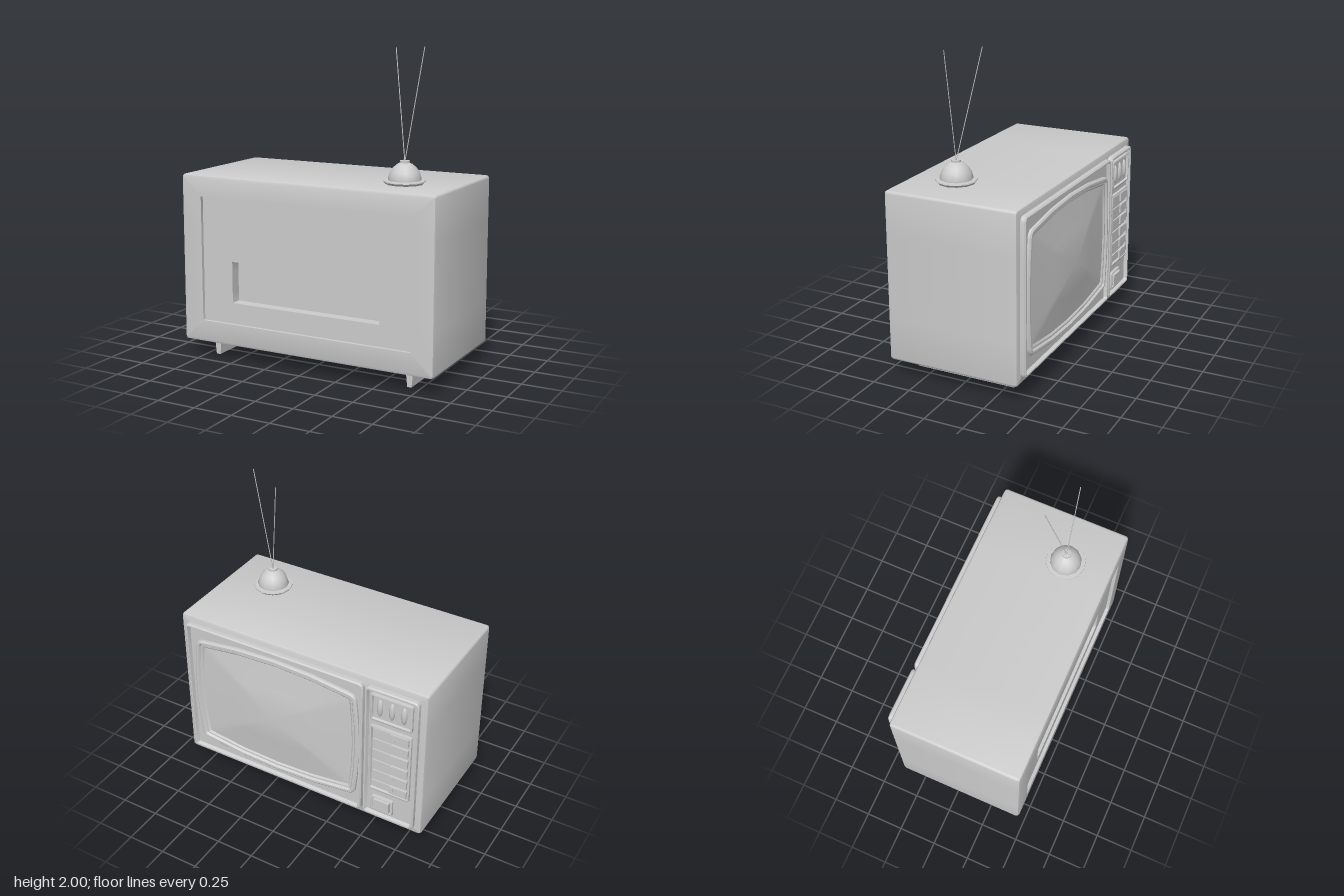
import * as THREE from 'three';
import { toCreasedNormals } from 'three/addons/utils/BufferGeometryUtils.js';

const grey = new THREE.MeshStandardMaterial({ color: 0xcccccc });

function add(parent, name, geometry, x = 0, y = 0, z = 0) {
  const mesh = new THREE.Mesh(geometry, grey);
  mesh.name = name;
  mesh.position.set(x, y, z);
  parent.add(mesh);
  return mesh;
}

const box = (w, h, d) => new THREE.BoxGeometry(w, h, d);

// Rounded rectangle loop (counter-clockwise); bowX / bowY push the sides outwards
function loop(cx, cy, hw, hh, r, z, bowX = 0, bowY = 0) {
  const pts = [];
  const corners = [[1, 1], [-1, 1], [-1, -1], [1, -1]];
  corners.forEach(([sx, sy], c) => {
    for (let k = 0; k <= 3; k++) {
      const a = (c + k / 3) * Math.PI / 2;
      pts.push([cx + sx * (hw - r) + r * Math.cos(a), cy + sy * (hh - r) + r * Math.sin(a), z]);
    }
    // points along the side that follows this corner
    for (const t of [0.25, 0.5, 0.75]) {
      const s = 1 - 2 * t, b = 4 * t * (1 - t);
      if (c % 2 === 0) pts.push([cx + sx * s * (hw - r), cy + sy * (hh + b * bowY), z]);
      else pts.push([cx + sx * (hw + b * bowX), cy + sy * s * (hh - r), z]);
    }
  });
  return pts;
}

// Skin a list of loops; optional flat or domed end caps given as centre points
function loft(loops, { start, end, crease = 0.6 } = {}) {
  const n = loops[0].length, pos = loops.flat(2), index = [];
  for (let j = 0; j < loops.length - 1; j++) {
    for (let i = 0; i < n; i++) {
      const a = j * n + i, b = j * n + (i + 1) % n;
      index.push(a, b, b + n, a, b + n, a + n);
    }
  }
  const cap = (centre, base, flip) => {
    const c = pos.length / 3;
    pos.push(...centre);
    for (let i = 0; i < n; i++) {
      const a = base + i, b = base + (i + 1) % n;
      index.push(c, flip ? b : a, flip ? a : b);
    }
  };
  if (start) cap(start, 0, true);
  if (end) cap(end, (loops.length - 1) * n, false);
  const g = new THREE.BufferGeometry();
  g.setAttribute('position', new THREE.Float32BufferAttribute(pos, 3));
  g.setIndex(index);
  return toCreasedNormals(g, crease);
}

// Tray-like panel with a raised rim: steps are [inset, z]
function panel(x0, x1, y0, y1, r, steps, bowX = 0, bowY = 0, closed = true) {
  const cx = (x0 + x1) / 2, cy = (y0 + y1) / 2, hw = (x1 - x0) / 2, hh = (y1 - y0) / 2;
  const loops = steps.map(([i, z]) => loop(cx, cy, hw - i, hh - i, Math.max(r - i, 0.003), z, bowX, bowY));
  return loft(loops, closed ? { end: [cx, cy, steps[steps.length - 1][1]] } : {});
}

export function createModel() {
  const model = new THREE.Group();
  model.name = 'television';

  // Cabinet with softened edges and the stepped recess on its +z side
  const cy = 0.643, hw = 0.872, hh = 0.542;
  add(model, 'cabinet', loft([
    loop(0, cy, hw - 0.02, hh - 0.02, 0.01, -0.402),
    loop(0, cy, hw - 0.006, hh - 0.006, 0.015, -0.396),
    loop(0, cy, hw, hh, 0.02, -0.382),
    loop(0, cy, hw, hh, 0.02, 0.442),
    loop(0, cy, hw - 0.006, hh - 0.006, 0.015, 0.456),
    loop(0, cy, hw - 0.02, hh - 0.02, 0.01, 0.462),
    loop(0, 0.647, 0.728, 0.402, 0.001, 0.462),
    loop(0, 0.647, 0.728, 0.402, 0.001, 0.44),
    loop(0, 0.513, 0.514, 0.133, 0.001, 0.44),
    loop(0, 0.513, 0.514, 0.133, 0.001, 0.37),
  ], { start: [0, cy, -0.402], end: [0, 0.513, 0.37] }));

  // Everything on the screen side is built facing +z, then turned round
  const face = new THREE.Group();
  face.name = 'screenSide';
  face.rotation.y = Math.PI;
  model.add(face);

  const rim = [[0, 0.39], [0, 0.427], [0.008, 0.435], [0.018, 0.435], [0.026, 0.412]];
  // The screen panel's floor stays open behind the bulging glass
  add(face, 'screenPanel', panel(-0.828, 0.458, 0.145, 1.14, 0.03, rim));
  add(face, 'controlPanel', panel(0.47, 0.828, 0.145, 1.14, 0.03, rim));

  // Bowed frame around the screen
  add(face, 'screenFrame', panel(-0.755, 0.415, 0.25, 1.04, 0.05,
    [[0, 0.405], [0, 0.426], [0.01, 0.434], [0.024, 0.434], [0.034, 0.422], [0.046, 0.422], [0.056, 0.413]],
    0.022, 0.045, false));

  // Glass: three rings rising to a central peak
  const glass = (s, z) => loop(-0.165, 0.645, 0.535 * s, 0.345 * s, 0.05 * s, z, 0.02 * s, 0.045 * s);
  add(face, 'screenGlass', loft([glass(1, 0.413), glass(0.75, 0.425), glass(0.52, 0.437)],
    { end: [-0.165, 0.645, 0.468], crease: 1.2 }));

  // Three upright dials in a framed tray
  const tray = [[0, 0.405], [0, 0.428], [0.006, 0.431], [0.012, 0.431], [0.016, 0.416]];
  add(face, 'dialTray', panel(0.51, 0.79, 0.905, 1.1, 0.012, tray));
  for (let i = 0; i < 3; i++) {
    const dial = add(face, 'dial', new THREE.SphereGeometry(1, 12, 8), 0.57 + i * 0.08, 1.003, 0.416);
    dial.scale.set(0.02, 0.062, 0.018);
  }

  // Rows of slider keys: a slot bar on each side and a raised key
  add(face, 'keyTray', panel(0.51, 0.79, 0.36, 0.865, 0.01, tray));
  for (let i = 0; i < 6; i++) {
    const y = 0.408 + i * 0.082;
    add(face, 'keyBar', box(0.125, 0.05, 0.012), 0.592, y, 0.418);
    add(face, 'key', box(0.115, 0.056, 0.024), 0.714, y, 0.42);
    add(face, 'keyGrip', box(0.03, 0.045, 0.026), 0.668, y, 0.421);
  }

  // Power button
  add(face, 'powerTray', panel(0.53, 0.68, 0.19, 0.31, 0.01, tray));
  add(face, 'powerButton', box(0.11, 0.08, 0.035), 0.605, 0.25, 0.4235);

  // Runner feet: flange plus tapered blade
  for (const side of [-1, 1]) {
    const foot = new THREE.Group();
    foot.name = side > 0 ? 'leftFoot' : 'rightFoot';
    foot.position.set(side * 0.68, 0, 0.035);
    model.add(foot);
    add(foot, 'flange', box(0.1, 0.018, 0.71), 0, 0.095, 0);
    const blade = new THREE.Shape([[-0.014, 0], [0.014, 0], [0.023, 0.088], [-0.023, 0.088]]
      .map(([x, y]) => new THREE.Vector2(x, y)));
    add(foot, 'blade', new THREE.ExtrudeGeometry(blade, { depth: 0.664, bevelEnabled: false }), 0, 0, -0.332);
  }

  // Aerial: domed base, cap and two rods
  const aerial = new THREE.Group();
  aerial.name = 'aerial';
  aerial.position.set(0.54, 1.185, 0.16);
  model.add(aerial);
  const profile = [[0.115, 0], [0.128, 0.014], [0.126, 0.021], [0.1, 0.023], [0.1, 0.038], [0.09, 0.07],
    [0.07, 0.1], [0.045, 0.12], [0.03, 0.127], [0.03, 0.14], [0.018, 0.142], [0.016, 0.137], [0, 0.137]];
  add(aerial, 'aerialBase', toCreasedNormals(
    new THREE.LatheGeometry(profile.map(([x, y]) => new THREE.Vector2(x, y)), 12), 0.7));
  const foot = new THREE.Vector3(0, 0.13, 0);
  for (const tip of [new THREE.Vector3(0.12, 0.815, 0), new THREE.Vector3(-0.12, 0.803, -0.12)]) {
    add(aerial, 'rod', new THREE.TubeGeometry(new THREE.LineCurve3(foot, tip), 1, 0.0028, 6));
  }

  return model;
}
